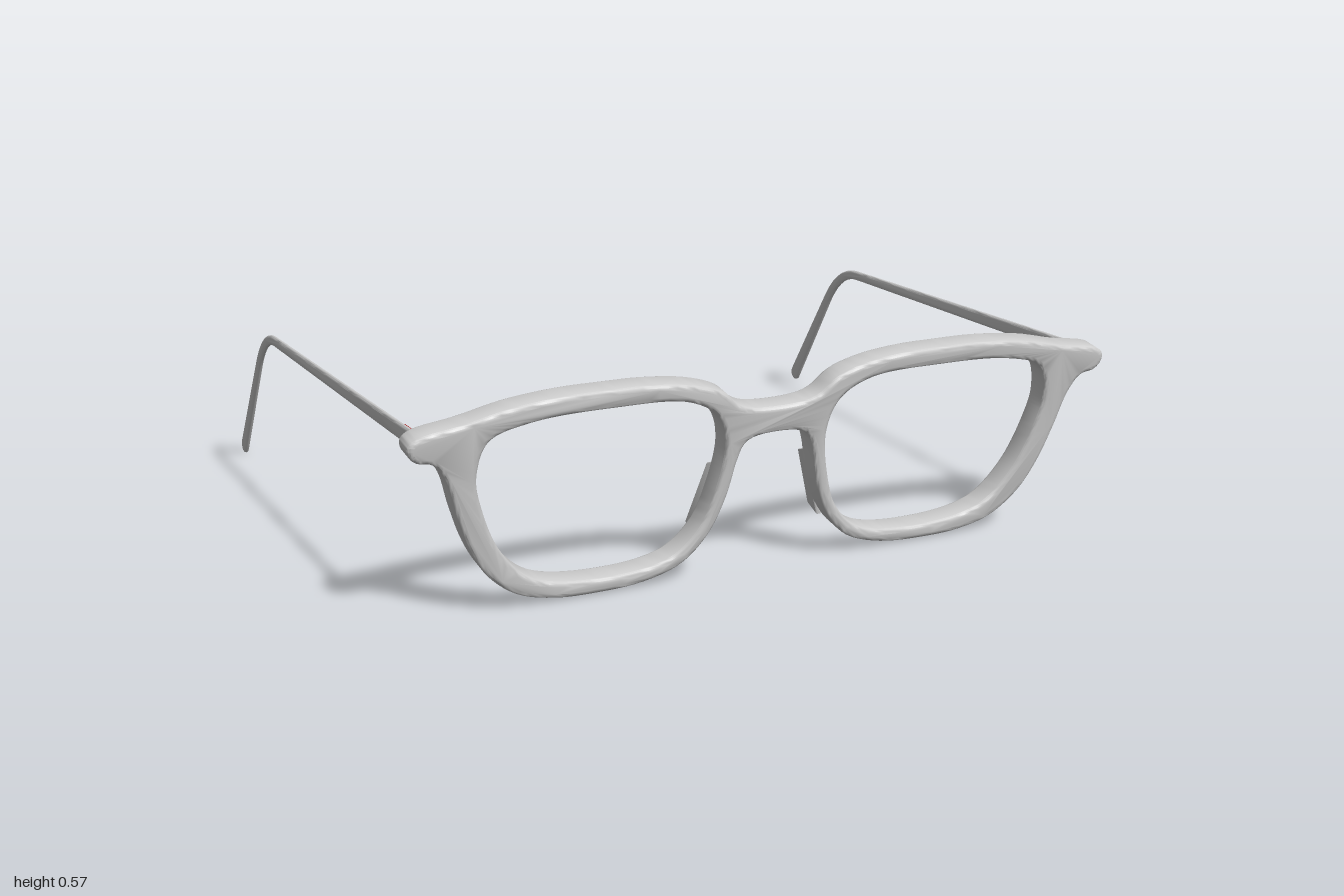
import * as THREE from 'three';
import { toCreasedNormals } from 'three/addons/utils/BufferGeometryUtils.js';

const TILT = 0.153; // forward lean of the front
const grey = () => new THREE.MeshStandardMaterial({ color: 0xcccccc });

// Smooth closed loop through [x, y] points
function loop(points, samples) {
  const curve = new THREE.CatmullRomCurve3(points.map(([x, y]) => new THREE.Vector3(x, y, 0)), true, 'centripetal');
  return curve.getPoints(samples).slice(0, -1).map((p) => new THREE.Vector2(p.x, p.y));
}

// Slab with rounded edges; the outline is its widest extent, z runs 0..depth
function slab(shape, depth, bevel, thickness = bevel) {
  const g = new THREE.ExtrudeGeometry(shape, {
    depth: depth - 2 * thickness, bevelEnabled: true, bevelSize: bevel,
    bevelThickness: thickness, bevelOffset: -bevel, bevelSegments: 3,
  });
  g.translate(0, 0, thickness);
  return g;
}

function mesh(name, geometry, material = grey()) {
  const m = new THREE.Mesh(geometry, material);
  m.name = name;
  return m;
}

// Front: both rims, bridge and end pieces in one slab
function frontFrame() {
  const half = [
    [0.07, 0.461], [0.115, 0.476], [0.165, 0.517], [0.25, 0.546], [0.37, 0.561], [0.48, 0.563],
    [0.6, 0.562], [0.74, 0.548], [0.86, 0.521], [0.975, 0.5], [0.997, 0.482], [0.995, 0.457],
    [0.975, 0.437], [0.933, 0.426], [0.9, 0.38], [0.87, 0.285], [0.83, 0.18], [0.78, 0.1],
    [0.7, 0.036], [0.6, 0.008], [0.49, 0.002], [0.35, 0.011], [0.245, 0.047], [0.175, 0.12],
    [0.132, 0.22], [0.108, 0.325], [0.09, 0.366], [0.055, 0.382],
  ];
  const mirrored = half.map(([x, y]) => [-x, y]).reverse();
  // counter-clockwise outline
  const shape = new THREE.Shape(loop([...half, ...mirrored].reverse(), 280));
  const lens = [
    [0.82, 0.38], [0.793, 0.468], [0.69, 0.503], [0.47, 0.514], [0.26, 0.501], [0.177, 0.453],
    [0.147, 0.37], [0.163, 0.245], [0.205, 0.135], [0.285, 0.065], [0.49, 0.042], [0.66, 0.075],
    [0.75, 0.166], [0.805, 0.295],
  ];
  for (const s of [1, -1]) {
    shape.holes.push(new THREE.Path(loop(lens.map(([x, y]) => [s * x, y]), 110)));
  }
  const depth = 0.071;
  const g = slab(shape, depth, 0.013, 0.009);
  g.translate(0, 0, -depth);
  const m = mesh('frontFrame', toCreasedNormals(g, 0.7));
  m.rotation.x = TILT;
  m.position.set(0, 0.003, 0.742);
  return m;
}

// Temple arm: a thin strip around a bent spine, with a round tip
function templeArm() {
  const spine = new THREE.CurvePath();
  const start = new THREE.Vector2(-0.755, 0.477), a = new THREE.Vector2(0.42, 0.442);
  const bend = new THREE.Vector2(0.525, 0.439), b = new THREE.Vector2(0.6, 0.327);
  const tip = new THREE.Vector2(0.803, 0.025);
  spine.add(new THREE.LineCurve(start, a));
  spine.add(new THREE.QuadraticBezierCurve(a, bend, b));
  spine.add(new THREE.LineCurve(b, tip));
  const upper = [], lower = [], N = 60;
  for (let i = 0; i <= N; i++) {
    const t = i / N, p = spine.getPointAt(t), d = spine.getTangentAt(t);
    const r = t < 0.7 ? THREE.MathUtils.lerp(0.022, 0.014, t / 0.7)
      : THREE.MathUtils.lerp(0.014, 0.023, (t - 0.7) / 0.3);
    upper.push(new THREE.Vector2(p.x - d.y * r, p.y + d.x * r));
    lower.push(new THREE.Vector2(p.x + d.y * r, p.y - d.x * r));
  }
  const cap = [], dir = spine.getTangentAt(1), angle = Math.atan2(dir.y, dir.x);
  for (let i = 1; i < 10; i++) {
    const k = angle + Math.PI / 2 - (i / 10) * Math.PI;
    cap.push(new THREE.Vector2(tip.x + 0.023 * Math.cos(k), tip.y + 0.023 * Math.sin(k)));
  }
  const g = slab(new THREE.Shape([...upper, ...cap, ...lower.reverse()]), 0.013, 0.008, 0.006);
  g.rotateY(Math.PI / 2);
  g.translate(0.952, 0, 0);
  return mesh('templeArm', toCreasedNormals(g, 0.8));
}

// Nose pad: a plate behind the inner rim, sheared to follow its slope
function nosePad() {
  const outline = [[-0.727, 0.305], [-0.678, 0.288], [-0.651, 0.125], [-0.7, 0.106]];
  const g = slab(new THREE.Shape(outline.map(([x, y]) => new THREE.Vector2(x, y))), 0.016, 0.004);
  g.rotateY(Math.PI / 2);
  const p = g.attributes.position;
  for (let i = 0; i < p.count; i++) {
    p.setX(i, p.getX(i) + 0.12 + (0.3 - p.getY(i)) * 0.28 + (0.71 - p.getZ(i)) * 0.1);
  }
  return mesh('nosePad', toCreasedNormals(g, 0.6));
}

// Hinge: small red wedge inside the temple arm, thicker towards the front
function hinge() {
  const shape = new THREE.Shape([
    new THREE.Vector2(0.954, -0.755), new THREE.Vector2(0.943, -0.755),
    new THREE.Vector2(0.948, -0.65), new THREE.Vector2(0.954, -0.65),
  ]);
  const g = new THREE.ExtrudeGeometry(shape, { depth: 0.026, bevelEnabled: false });
  g.rotateX(-Math.PI / 2);
  g.translate(0, 0.464, 0);
  return mesh('hinge', g, new THREE.MeshStandardMaterial({ color: 0xa01010 }));
}

export function createModel() {
  const model = new THREE.Group();
  model.name = 'eyeglasses';
  model.add(frontFrame());
  for (const [name, s] of [['leftSide', 1], ['rightSide', -1]]) {
    const side = new THREE.Group();
    side.name = name;
    side.add(templeArm(), hinge(), nosePad());
    side.scale.x = s;
    model.add(side);
  }
  return model;
}
